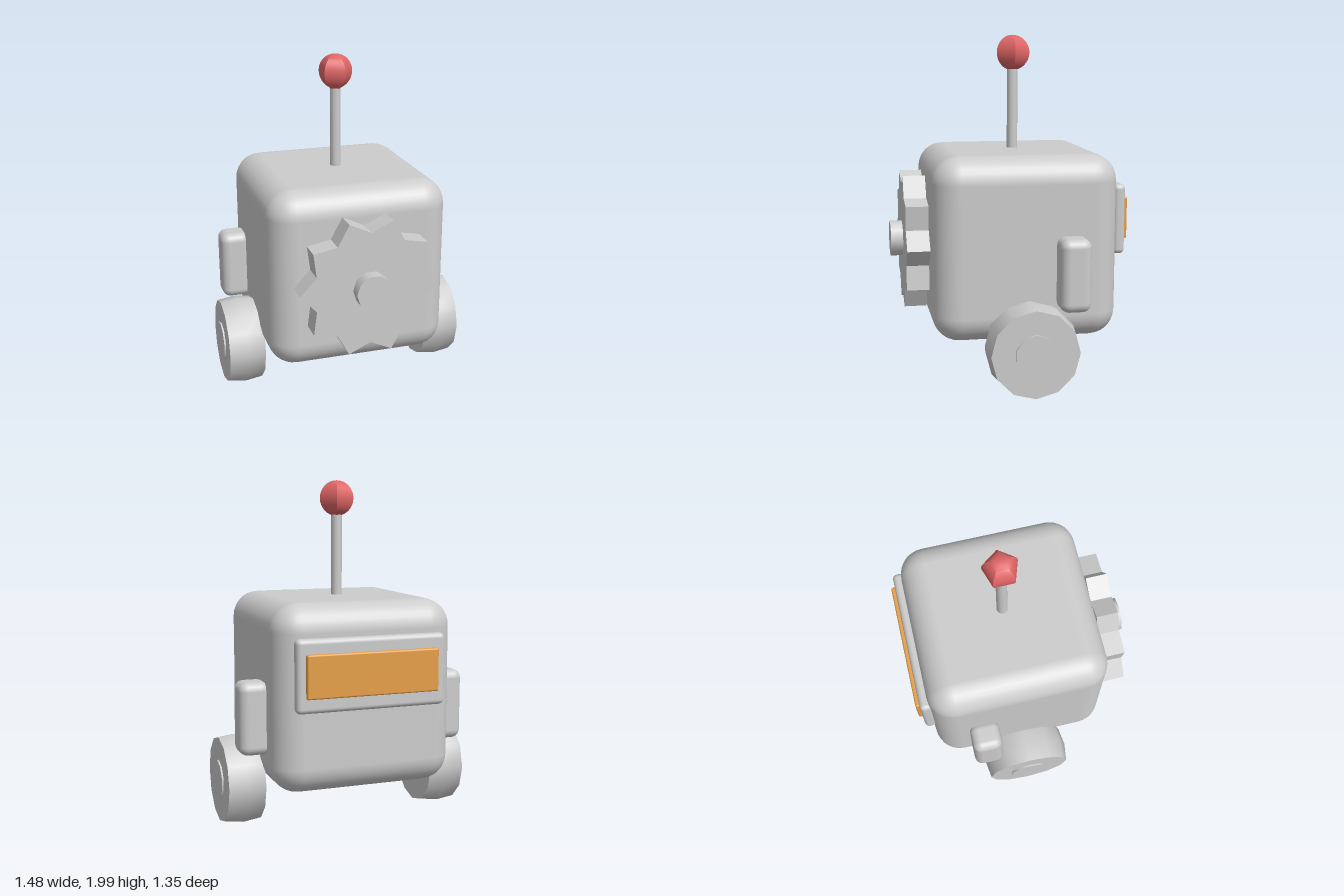
import * as THREE from 'three';
import { toCreasedNormals } from 'three/addons/utils/BufferGeometryUtils.js';
import { RoundedBoxGeometry } from 'three/addons/geometries/RoundedBoxGeometry.js';

const Z0 = -0.066; // depth of the body's centre

export function createModel() {
  const model = new THREE.Group();
  model.name = 'robot';

  const material = (name, color) => {
    const m = new THREE.MeshStandardMaterial({ color });
    m.name = name;
    return m;
  };
  const grey = material('light grey', 0xcccccc);
  const red = material('soft red', 0xe06666);
  const orange = material('orange', 0xe69f48);

  const add = (name, geometry, mat, x, y, z) => {
    const mesh = new THREE.Mesh(geometry, mat);
    mesh.name = name;
    mesh.position.set(x, y, z);
    model.add(mesh);
    return mesh;
  };

  // Body
  add('body', new RoundedBoxGeometry(1.06, 1.06, 1.064, 4, 0.155), grey, 0, 0.804, Z0);

  // Antenna with a five-sided ball
  add('antennaRod', new THREE.CylinderGeometry(0.032, 0.032, 0.54, 12), grey, 0, 1.58, Z0);
  const ball = new THREE.SphereGeometry(0.103, 5, 16);
  ball.rotateY(Math.PI);
  add('antennaBall', toCreasedNormals(ball, 0.8), red, 0, 1.897, Z0);

  // Ten-pointed gear on the front, with its hub
  const star = new THREE.Shape();
  for (let i = 0; i < 20; i++) {
    const r = i % 2 ? 0.33 : 0.41;
    const a = (i * Math.PI) / 10;
    star[i ? 'lineTo' : 'moveTo'](r * Math.cos(a), r * Math.sin(a));
  }
  star.closePath();
  const gear = new THREE.ExtrudeGeometry(star, { depth: 0.13, bevelEnabled: false });
  add('gear', gear, grey, 0, 0.803, 0.473);
  const gearHub = new THREE.CylinderGeometry(0.105, 0.105, 0.2, 10, 1, false, Math.PI / 2);
  gearHub.rotateX(Math.PI / 2);
  add('gearHub', gearHub, grey, 0, 0.803, 0.574);

  // Back panel and screen
  add('backPanel', new RoundedBoxGeometry(0.87, 0.405, 0.07, 3, 0.028), grey, 0, 0.953, -0.613);
  add('backScreen', new RoundedBoxGeometry(0.768, 0.242, 0.05, 2, 0.01), orange, 0, 0.955, -0.648);

  // Wheels with a slight crown, hubcaps and arms
  const wheelProfile = [[0, -0.108], [0.25, -0.108], [0.265, 0], [0.25, 0.108], [0, 0.108]]
    .map(([r, h]) => new THREE.Vector2(r, h));
  const wheel = toCreasedNormals(new THREE.LatheGeometry(wheelProfile, 12), 0.6);
  wheel.rotateZ(-Math.PI / 2);
  const hubcap = new THREE.CylinderGeometry(0.117, 0.117, 0.04, 10, 1, false, Math.PI / 2);
  hubcap.rotateZ(-Math.PI / 2);
  const arm = new RoundedBoxGeometry(0.176, 0.415, 0.176, 3, 0.05);

  for (const [side, s] of [['left', 1], ['right', -1]]) {
    add(side + 'Wheel', wheel, grey, s * 0.622, 0.271, Z0);
    add(side + 'Hubcap', hubcap, grey, s * 0.72, 0.271, Z0);
    add(side + 'Arm', arm, grey, s * 0.592, 0.683, -0.307);
  }

  return model;
}
